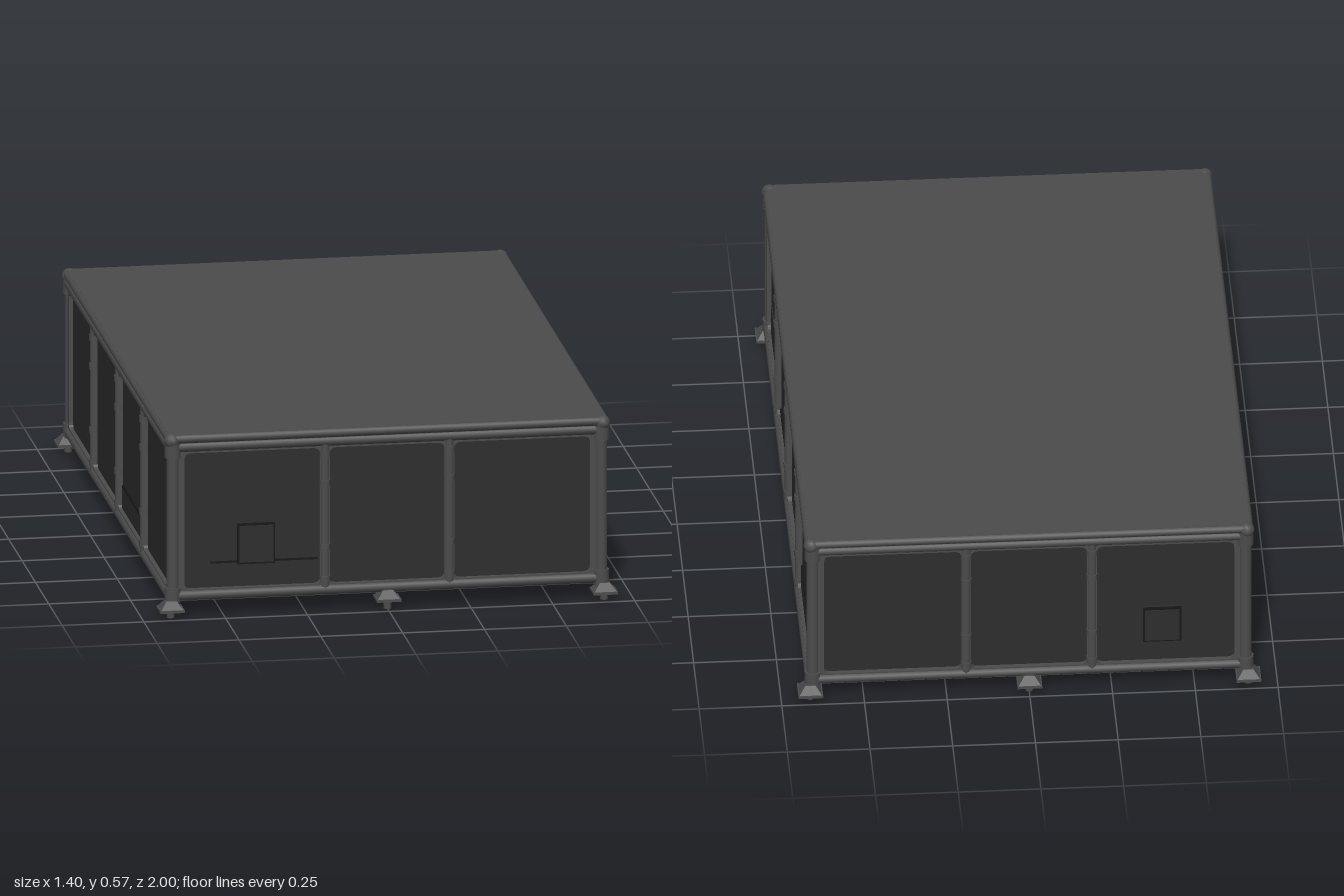
import * as THREE from 'three';

const frameMat = new THREE.MeshStandardMaterial({ color: 0x4c4c4c });
frameMat.name = 'frameGrey';
const panelMat = new THREE.MeshStandardMaterial({ color: 0x2d2d2d });
panelMat.name = 'panelCharcoal';
const seamMat = new THREE.MeshStandardMaterial({ color: 0x161616 });
seamMat.name = 'seamBlack';

const LOW = 0.085, HIGH = 0.51; // panel opening heights

function add(parent, name, geo, mat, x = 0, y = 0, z = 0) {
  const m = new THREE.Mesh(geo, mat);
  m.name = name;
  m.position.set(x, y, z);
  parent.add(m);
  return m;
}
const box = (w, h, d) => new THREE.BoxGeometry(w, h, d);

// Rounded rectangle, used as an opening in a wall frame
function roundedHole(x0, x1, y0, y1, r) {
  const p = new THREE.Path();
  p.moveTo(x0 + r, y0);
  p.lineTo(x1 - r, y0); p.quadraticCurveTo(x1, y0, x1, y0 + r);
  p.lineTo(x1, y1 - r); p.quadraticCurveTo(x1, y1, x1 - r, y1);
  p.lineTo(x0 + r, y1); p.quadraticCurveTo(x0, y1, x0, y1 - r);
  p.lineTo(x0, y0 + r); p.quadraticCurveTo(x0, y0, x0 + r, y0);
  return p;
}

// One wall: perforated frame, round posts with collars, bottom rail
function makeWall(name, half, offset, posts, angle) {
  const wall = new THREE.Group();
  wall.name = name;
  const shape = new THREE.Shape();
  shape.moveTo(-half, 0.05); shape.lineTo(half, 0.05);
  shape.lineTo(half, 0.55); shape.lineTo(-half, 0.55);
  const edges = [-half + 0.025, ...posts, half - 0.025];
  for (let i = 0; i < edges.length - 1; i++) {
    shape.holes.push(roundedHole(edges[i] + 0.015, edges[i + 1] - 0.015, LOW, HIGH, 0.02));
  }
  add(wall, 'wallFrame', new THREE.ExtrudeGeometry(shape, { depth: 0.018, bevelEnabled: false, curveSegments: 4 }),
    frameMat, 0, 0, offset - 0.026);
  for (const x of posts) {
    add(wall, 'post', new THREE.CylinderGeometry(0.014, 0.014, 0.46, 10), frameMat, x, 0.3, offset - 0.014);
    for (const y of [0.1, 0.2, 0.4, 0.49]) {
      add(wall, 'postCollar', new THREE.CylinderGeometry(0.017, 0.017, 0.02, 10), frameMat, x, y, offset - 0.014);
    }
  }
  for (const [y, r] of [[0.066, 0.016], [0.53, 0.016]]) {
    const rail = add(wall, 'rail', new THREE.CylinderGeometry(r, r, half * 2 - 0.02, 10), frameMat, 0, y, offset - 0.014);
    rail.rotation.z = Math.PI / 2;
  }
  wall.rotation.y = angle;
  return wall;
}

// Square hatch with a dark seam around it
function addHatch(wall, offset, x, y, w, h, out) {
  add(wall, 'hatchSeam', box(w, h, 0.008), seamMat, x, y, offset + out - 0.008);
  add(wall, 'hatch', box(w - 0.012, h - 0.012, 0.035), panelMat, x, y, offset + out - 0.0175);
}

// Low cloth flap with a dark upper seam
function addFlap(wall, offset, x0, x1, y0, y1) {
  const w = x1 - x0, x = (x0 + x1) / 2;
  add(wall, 'flap', box(w, y1 - y0, 0.009), panelMat, x, (y0 + y1) / 2, offset - 0.021);
  add(wall, 'flapSeam', box(w, 0.005, 0.009), seamMat, x, y1, offset - 0.02);
}

// Flared foot with a short pin
function makeFoot(x, z, plateY) {
  const foot = new THREE.Group();
  foot.name = 'foot';
  add(foot, 'footPlate', box(0.075, 0.008, 0.075), frameMat, 0, plateY, 0);
  const flare = new THREE.CylinderGeometry(0.022, 0.05, 0.026, 4, 1).rotateY(Math.PI / 4).toNonIndexed();
  flare.computeVertexNormals();
  add(foot, 'footFlare', flare, frameMat, 0, plateY + 0.015, 0);
  add(foot, 'footPin', new THREE.CylinderGeometry(0.012, 0.012, plateY, 10), frameMat, 0, plateY / 2, 0);
  foot.position.set(x, 0, z);
  return foot;
}

export function createModel() {
  const model = new THREE.Group();
  model.name = 'framedEnclosure';

  // Dark cloth body and roof
  add(model, 'bodyPanels', box(1.308, 0.48, 1.896), panelMat, 0, 0.29, 0);
  add(model, 'roof', box(1.335, 0.03, 1.93), frameMat, 0, 0.555, 0);

  // Rounded roof edge and corner parts
  for (const s of [-1, 1]) {
    const side = add(model, 'roofEdgeSide', new THREE.CylinderGeometry(0.014, 0.014, 1.92, 10), frameMat, s * 0.664, 0.556, 0);
    side.rotation.x = Math.PI / 2;
    const end = add(model, 'roofEdgeEnd', new THREE.CylinderGeometry(0.014, 0.014, 1.32, 10), frameMat, 0, 0.556, s * 0.96);
    end.rotation.z = Math.PI / 2;
    for (const t of [-1, 1]) {
      add(model, 'cornerPost', new THREE.CylinderGeometry(0.019, 0.019, 0.52, 12), frameMat, s * 0.654, 0.3, t * 0.953);
      add(model, 'cornerCap', new THREE.SphereGeometry(0.024, 12, 8), frameMat, s * 0.658, 0.55, t * 0.957);
      add(model, 'cornerSleeve', new THREE.CylinderGeometry(0.025, 0.025, 0.045, 12), frameMat, s * 0.654, 0.52, t * 0.953);
      add(model, 'cornerBase', new THREE.CylinderGeometry(0.025, 0.025, 0.045, 12), frameMat, s * 0.654, 0.07, t * 0.953);
      model.add(makeFoot(s * 0.662, t * 0.962, 0.026));
    }
    model.add(makeFoot(0, s * 0.962, 0.032));
  }

  // Walls
  const endPosts = [-0.19, 0.19], sidePosts = [-0.47, 0, 0.47];
  const EZ = 0.97, SX = 0.675;
  const front = makeWall('frontWall', 0.66, EZ, endPosts, 0);
  const back = makeWall('backWall', 0.66, EZ, endPosts, Math.PI);
  const plusX = makeWall('leftWall', 0.955, SX, sidePosts, Math.PI / 2);
  const minusX = makeWall('rightWall', 0.955, SX, sidePosts, -Math.PI / 2);
  model.add(front, back, plusX, minusX);

  // Hatches and flaps
  addHatch(front, EZ, -0.402, 0.222, 0.116, 0.126, 0.005);
  addFlap(front, EZ, -0.54, -0.21, 0.1, 0.163);
  addHatch(back, EZ, 0.402, 0.225, 0.116, 0.12, 0.006);
  addHatch(plusX, SX, -0.72, 0.195, 0.18, 0.12, -0.012);
  addFlap(plusX, SX, 0.5, 0.89, 0.09, 0.17);
  addFlap(plusX, SX, -0.45, -0.03, 0.085, 0.1);
  addFlap(minusX, SX, 0.03, 0.45, 0.09, 0.16);

  // Floor cloth sagging between the cross beams
  const floor = new THREE.PlaneGeometry(1.3, 1.9, 24, 36).rotateX(Math.PI / 2);
  const p = floor.attributes.position;
  for (let i = 0; i < p.count; i++) {
    const x = p.getX(i), z = p.getZ(i);
    const sag = Math.abs(Math.sin(Math.PI * x / 0.65)) * Math.abs(Math.cos(Math.PI * z / 0.96)) * (1 - (z / 0.95) ** 8);
    p.setY(i, 0.049 - 0.02 * sag);
  }
  floor.computeVertexNormals();
  add(model, 'floorCloth', floor, panelMat);
  add(model, 'floorBeamLong', box(0.04, 0.02, 1.9), frameMat, 0, 0.042, 0);
  for (const z of [-0.48, 0.48]) {
    add(model, 'floorBeamCross', box(1.3, 0.02, 0.04), frameMat, 0, 0.042, z);
    add(model, 'floorBeamJoint', box(0.08, 0.024, 0.08), frameMat, 0, 0.042, z);
  }
  return model;
}
